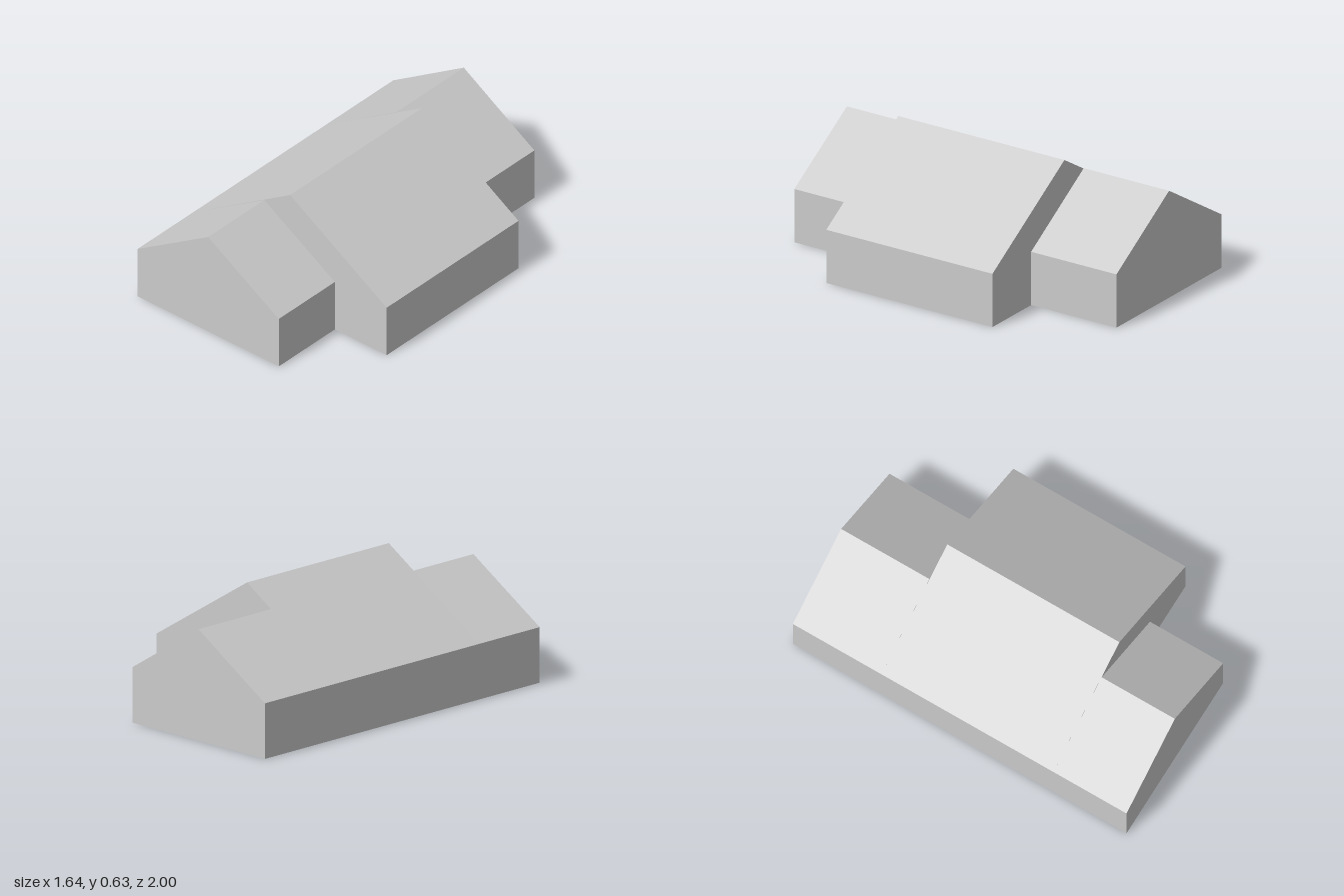
import * as THREE from 'three';

const EAVE = 0.267;

// One gabled section: from/to run along the long wall, width goes across it
const sections = [
  { name: 'frontWing', from: 0, to: 0.395, width: 0.863, ridge: 0.531 },
  { name: 'mainHall', from: 0.395, to: 1.324, width: 1.18, ridge: 0.632 },
  { name: 'backWing', from: 1.324, to: 1.801, width: 0.863, ridge: 0.536 },
];

function gabledSection({ name, from, to, width, ridge }, material) {
  const profile = new THREE.Shape([
    new THREE.Vector2(0, 0),
    new THREE.Vector2(width, 0),
    new THREE.Vector2(width, EAVE),
    new THREE.Vector2(width / 2, ridge),
    new THREE.Vector2(0, EAVE),
  ]);
  const geometry = new THREE.ExtrudeGeometry(profile, { depth: to - from, bevelEnabled: false });
  const mesh = new THREE.Mesh(geometry, material);
  mesh.name = name;
  mesh.position.z = -to;
  return mesh;
}

export function createModel() {
  const model = new THREE.Group();
  model.name = 'gabledBuilding';
  const material = new THREE.MeshStandardMaterial({ color: 0xcccccc, flatShading: true });

  // The building stands at an angle, with its long straight wall on the local x = 0 line
  const building = new THREE.Group();
  building.name = 'building';
  building.position.set(-0.816, 0, 0.626);
  building.rotation.y = -0.445;
  for (const section of sections) building.add(gabledSection(section, material));

  model.add(building);
  return model;
}
